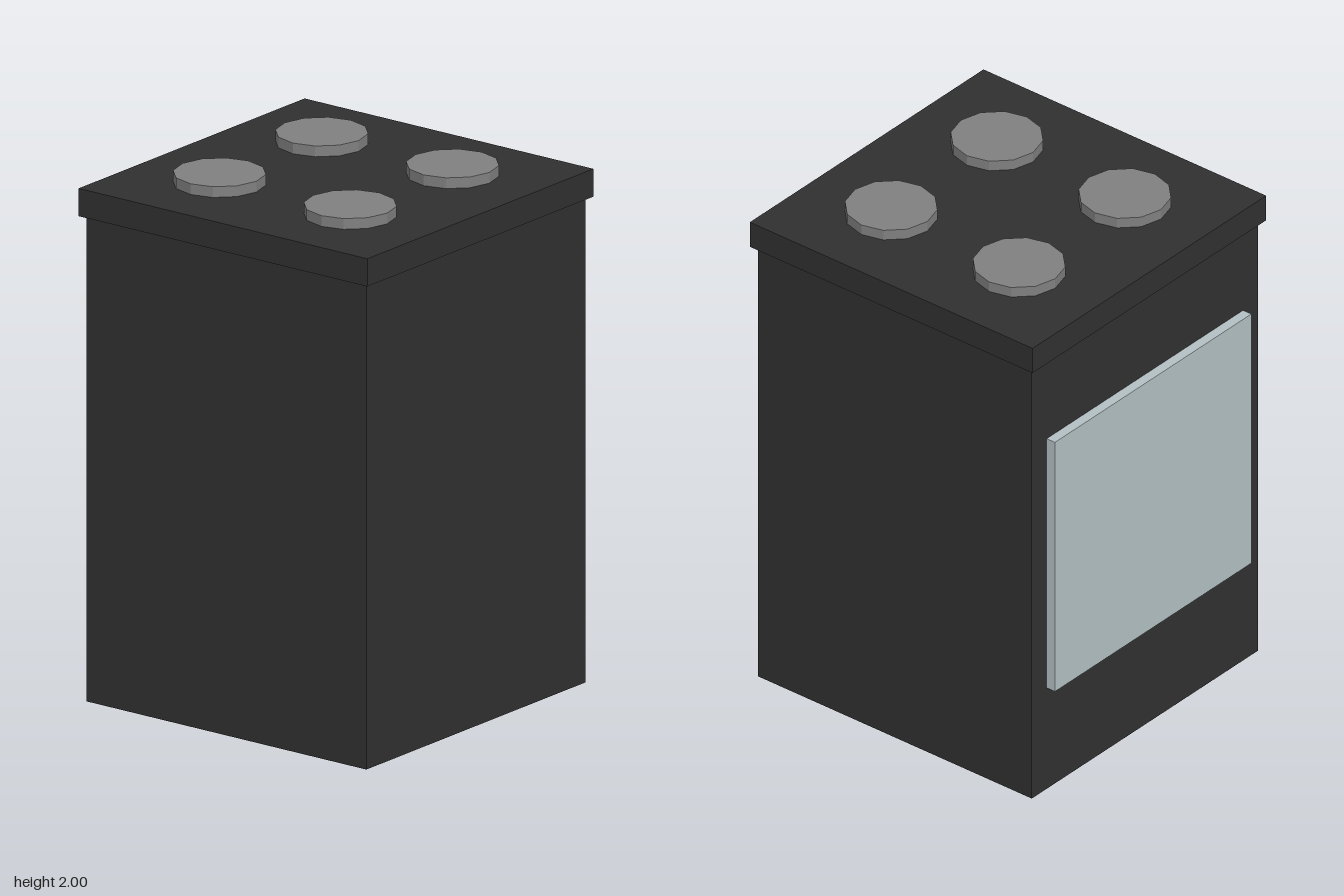
import * as THREE from 'three';

export function createModel() {
  const group = new THREE.Group();
  const dark = new THREE.MeshStandardMaterial({ color: 0x303030, flatShading: true });
  const metal = new THREE.MeshStandardMaterial({ color: 0x808080, flatShading: true });
  const glass = new THREE.MeshStandardMaterial({ color: 0xb3c0c3, flatShading: true });

  const add = (name, geometry, material, x, y, z) => {
    const mesh = new THREE.Mesh(geometry, material);
    mesh.name = name;
    mesh.position.set(x, y, z);
    group.add(mesh);
  };

  const cx = 0.007; // cabinet centre, offset by the door thickness

  // Cabinet and overhanging top
  add('body', new THREE.BoxGeometry(1.288, 1.854, 1.288), dark, cx, 0.927, 0);
  add('cooktop', new THREE.BoxGeometry(1.33, 0.106, 1.33), dark, cx, 1.906, 0);

  // Oven door panel on the right side
  add('ovenDoor', new THREE.BoxGeometry(0.043, 1.074, 1.118), glass, -0.6545, 0.972, 0);

  // Four hotplates
  const plate = new THREE.CylinderGeometry(0.17, 0.17, 0.042, 12);
  for (const sx of [-1, 1]) {
    for (const sz of [-1, 1]) {
      add('burner', plate, metal, cx + sx * 0.301, 1.979, sz * 0.301);
    }
  }
  return group;
}
